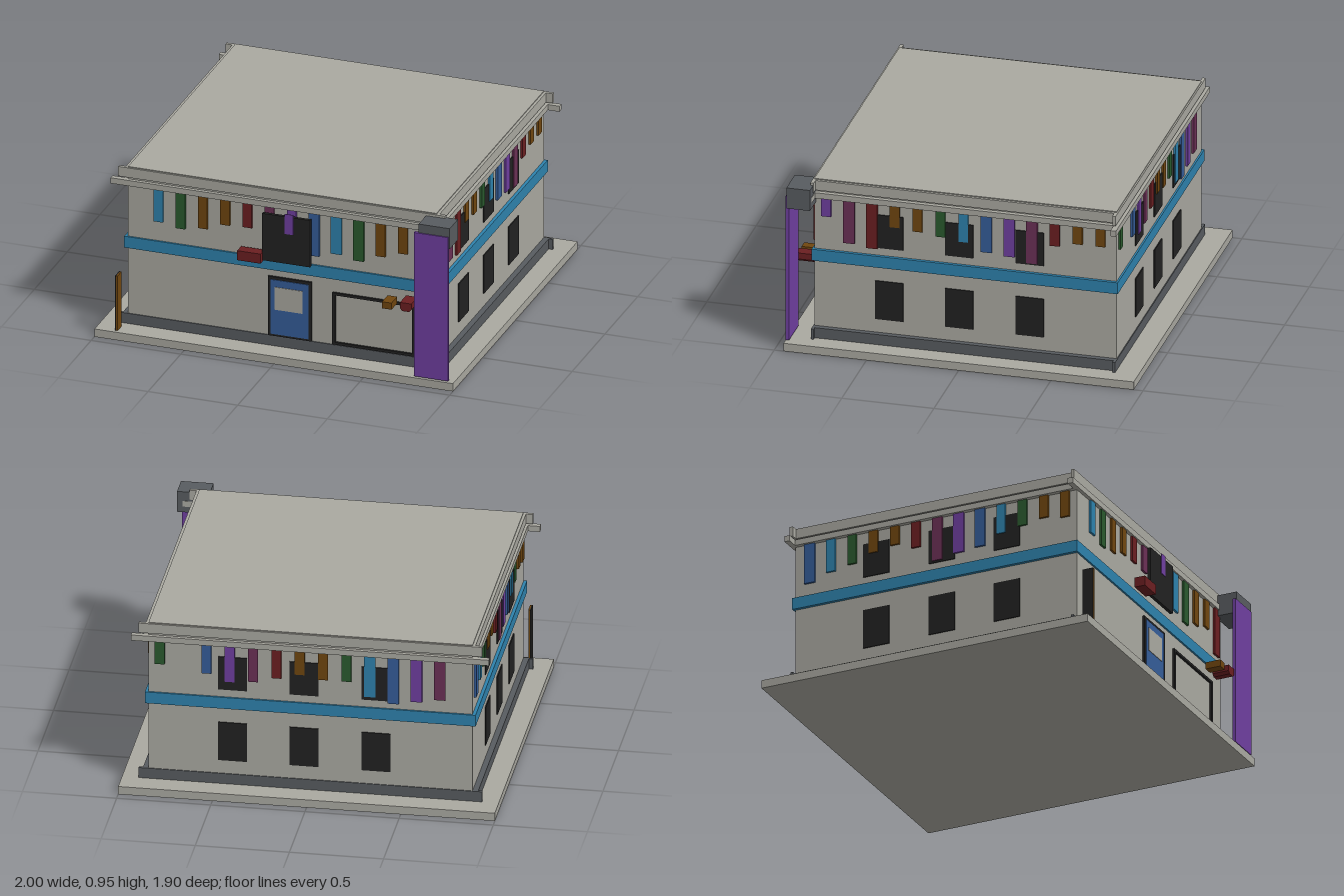
import * as THREE from 'three';

const palette = {
  stone: 0xaaa9a1, skyBlue: 0x2e82ad, purple: 0x6f3fa0, brown: 0x70460f, red: 0x6b1f21,
  green: 0x2a5a2e, plum: 0x6b3056, blue: 0x355d99, black: 0x222222, slate: 0x585c60,
};

export function createModel() {
  const root = new THREE.Group();
  root.name = 'shopBuilding';
  const mats = {};
  for (const [name, color] of Object.entries(palette)) {
    mats[name] = new THREE.MeshStandardMaterial({ color });
    mats[name].name = name;
  }

  // Box from its extents on each axis
  const box = (name, mat, x0, x1, y0, y1, z0, z1) => {
    const mesh = new THREE.Mesh(new THREE.BoxGeometry(x1 - x0, y1 - y0, z1 - z0), mats[mat]);
    mesh.position.set((x0 + x1) / 2, (y0 + y1) / 2, (z0 + z1) / 2);
    mesh.name = name;
    root.add(mesh);
    return mesh;
  };

  // Ground slab, main block and the blue belt
  box('groundSlab', 'stone', -1, 1, 0, 0.045, -0.95, 0.95);
  box('mainBlock', 'stone', -0.86, 0.86, 0.045, 0.948, -0.82, 0.82);
  box('blueBelt', 'skyBlue', -0.878, 0.878, 0.482, 0.547, -0.83, 0.83);

  // Trim: long strips on front and back run past the corners, side strips fit between
  const trim = (name, mat, y0, y1, endX, faceZ, sideX) => {
    for (const s of [-1, 1]) {
      box(name, mat, -endX, endX, y0, y1, Math.min(s * 0.81, s * faceZ), Math.max(s * 0.81, s * faceZ));
      box(name, mat, Math.min(s * 0.85, s * sideX), Math.max(s * 0.85, s * sideX), y0, y1, -0.82, 0.82);
    }
  };
  trim('plinth', 'slate', 0.045, 0.103, 0.912, 0.825, 0.89);
  trim('cornice', 'stone', 0.845, 0.877, 0.95, 0.84, 0.885);
  trim('parapet', 'stone', 0.888, 0.943, 0.912, 0.828, 0.875);

  // Thin plate on one of the four walls, u being x or z along the wall
  const plate = (name, mat, side, u, w, y0, y1, depth) => {
    const a = u - w / 2, b = u + w / 2;
    if (side === 'front') box(name, mat, a, b, y0, y1, 0.82, 0.82 + depth);
    if (side === 'back') box(name, mat, a, b, y0, y1, -0.82 - depth, -0.82);
    if (side === 'right') box(name, mat, 0.86, 0.86 + depth, y0, y1, a, b);
    if (side === 'left') box(name, mat, -0.86 - depth, -0.86, y0, y1, a, b);
  };

  // Two rows of windows on three walls
  for (const side of ['right', 'back', 'left']) {
    for (const u of [0.413, 0.034, -0.348]) {
      plate('lowerWindow', 'black', side, u, 0.153, 0.18, 0.4, 0.006);
      plate('upperWindow', 'black', side, u, 0.153, 0.59, 0.78, 0.006);
    }
  }

  // Bunting: one colour cycle, with the lower end of every pennant (0 = gap)
  const cycle = ['red', 'brown', 'brown', 'green', 'skyBlue', 'blue', 'purple', 'plum'];
  const bunting = {
    front: [0.8, 0, [0.58, 0.69, 0.655, 0.61, 0.63, 0.6, 0.725, 0.7, 0.705, 0.7, 0.66, 0.64, 0.66]],
    right: [0.754, 6, [0.74, 0.6, 0.585, 0.72, 0.71, 0.695, 0.68, 0.635, 0.625, 0.6, 0.715, 0.74, 0.74]],
    back: [0.8, 3, [0.715, 0, 0.68, 0.64, 0.65, 0.68, 0.71, 0.69, 0.69, 0.61, 0.58, 0.6, 0.62]],
    left: [0.754, 1, [0.7, 0.72, 0.7, 0.68, 0.63, 0.62, 0.6, 0.7, 0.74, 0.72, 0.68, 0.66, 0.62]],
  };
  for (const [side, [start, offset, ends]] of Object.entries(bunting)) {
    ends.forEach((end, i) => {
      if (!end) return;
      const w = end < 0.64 ? 0.06 : 0.052;
      plate('pennant', cycle[(i + offset) % 8], side, start - i * 0.124, w, end, 0.846, 0.012);
    });
  }

  // Door
  box('doorFrame', 'black', -0.075, 0.167, 0.105, 0.445, 0.82, 0.832);
  box('doorLeaf', 'blue', -0.06, 0.152, 0.117, 0.43, 0.82, 0.836);
  box('doorPane', 'stone', -0.035, 0.12, 0.26, 0.39, 0.82, 0.839);

  // Shop window with a slim frame
  const outline = new THREE.Shape([[0.283, 0.108], [0.742, 0.108], [0.742, 0.406], [0.283, 0.406]]
    .map(p => new THREE.Vector2(...p)));
  outline.holes.push(new THREE.Path([[0.3, 0.122], [0.3, 0.392], [0.727, 0.392], [0.727, 0.122]]
    .map(p => new THREE.Vector2(...p))));
  const frame = new THREE.Mesh(
    new THREE.ExtrudeGeometry(outline, { depth: 0.012, bevelEnabled: false }), mats.black);
  frame.position.z = 0.82;
  frame.name = 'shopWindowFrame';
  root.add(frame);

  // Hanging board with a pennant across it, and the red box beside it
  box('hangingBoard', 'black', -0.092, 0.176, 0.553, 0.823, 0.858, 0.876);
  box('boardPennant', 'purple', 0.034, 0.082, 0.725, 0.84, 0.876, 0.879);
  box('redBox', 'red', -0.22, -0.09, 0.545, 0.6, 0.845, 0.905);

  // Upright corner panel and its capital
  box('cornerPanel', 'purple', 0.78, 0.97, 0.052, 0.88, 0.928, 0.946);
  box('cornerCapital', 'slate', 0.805, 0.978, 0.812, 0.93, 0.812, 0.94);

  // Small bracket box and the bevelled red one beside it
  box('bracketBox', 'brown', 0.602, 0.655, 0.414, 0.452, 0.858, 0.944);
  const bevelled = new THREE.Shape([[0.715, 0.416], [0.752, 0.416], [0.766, 0.43], [0.766, 0.464],
    [0.702, 0.464], [0.702, 0.43]].map(p => new THREE.Vector2(...p)));
  const redLamp = new THREE.Mesh(
    new THREE.ExtrudeGeometry(bevelled, { depth: 0.094, bevelEnabled: false }), mats.red);
  redLamp.position.z = 0.85;
  redLamp.name = 'redLamp';
  root.add(redLamp);

  // Narrow standing board by the left front corner
  box('standingBoard', 'brown', -0.886, -0.878, 0.045, 0.36, 0.868, 0.93);
  box('standingBoardBack', 'black', -0.892, -0.886, 0.045, 0.36, 0.868, 0.93);

  return root;
}
